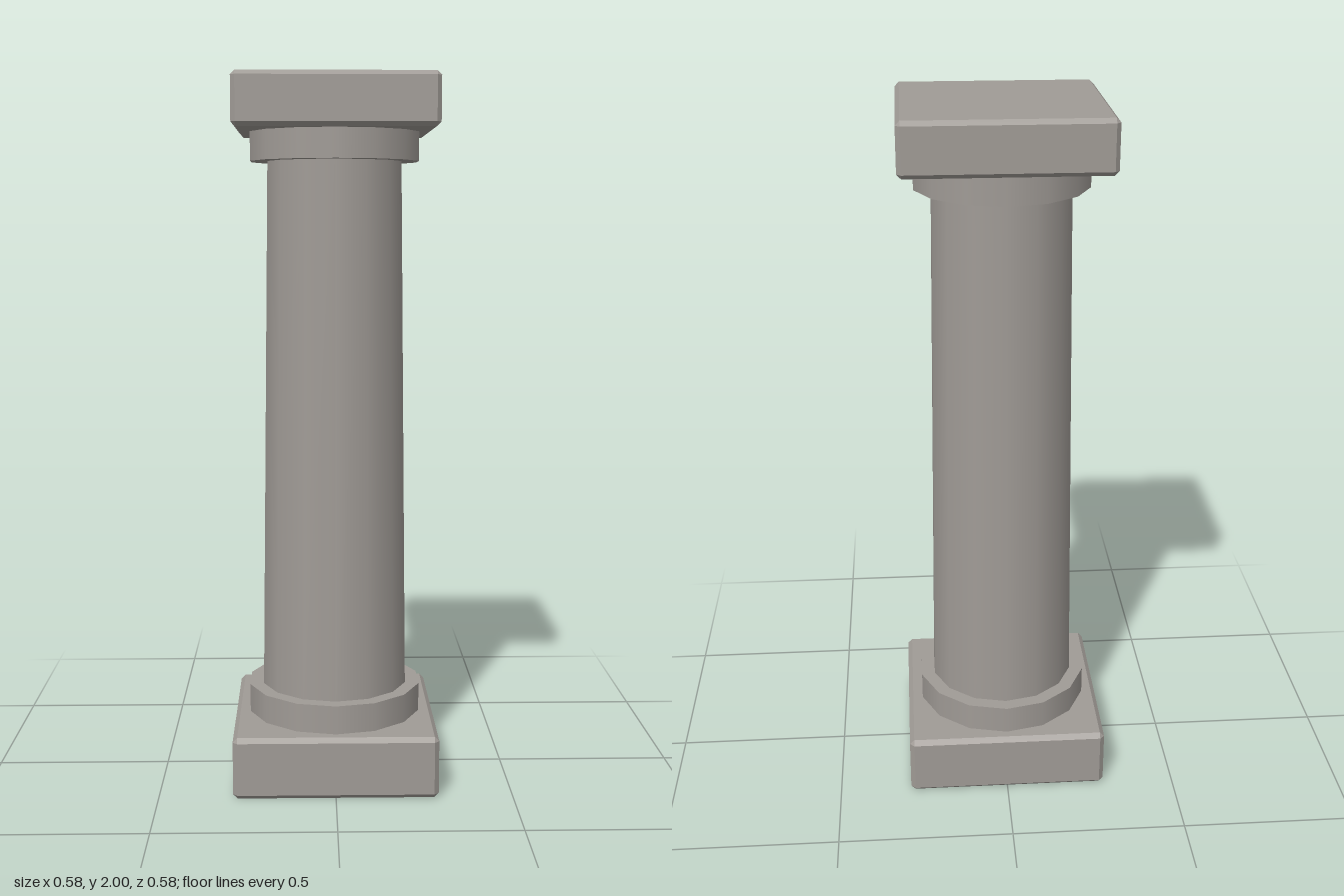
import * as THREE from 'three';
import { ConvexGeometry } from 'three/addons/geometries/ConvexGeometry.js';

const SIDES = 14;

// Square slab with every edge chamfered: three corner points per box corner
function chamferedSlab(half, y0, y1, c) {
  const h = (y1 - y0) / 2;
  const points = [];
  for (const sx of [-1, 1]) for (const sy of [-1, 1]) for (const sz of [-1, 1]) {
    points.push(
      new THREE.Vector3(sx * half, sy * (h - c), sz * (half - c)),
      new THREE.Vector3(sx * (half - c), sy * h, sz * (half - c)),
      new THREE.Vector3(sx * (half - c), sy * (h - c), sz * half)
    );
  }
  return new ConvexGeometry(points).translate(0, (y0 + y1) / 2, 0);
}

// Smooth-sided round section between two heights
function drum(rTop, rBottom, y0, y1) {
  return new THREE.CylinderGeometry(rTop, rBottom, y1 - y0, SIDES).translate(0, (y0 + y1) / 2, 0);
}

export function createModel() {
  const stone = new THREE.MeshStandardMaterial({ name: 'stone', color: 0xa09b96 });
  const column = new THREE.Group();
  column.name = 'column';

  const add = (name, geometry) => {
    const mesh = new THREE.Mesh(geometry, stone);
    mesh.name = name;
    column.add(mesh);
  };

  // Square blocks at foot and head
  add('plinth', chamferedSlab(0.29, 0, 0.178, 0.013));
  add('capitalSlab', chamferedSlab(0.278, 1.856, 2, 0.012));

  // Round collars and the tapering shaft between them
  add('baseRing', drum(0.254, 0.254, 0.17, 0.26));
  add('neckRing', drum(0.242, 0.242, 1.775, 1.862));
  add('shaft', drum(0.192, 0.214, 0.22, 1.82));

  return column;
}
